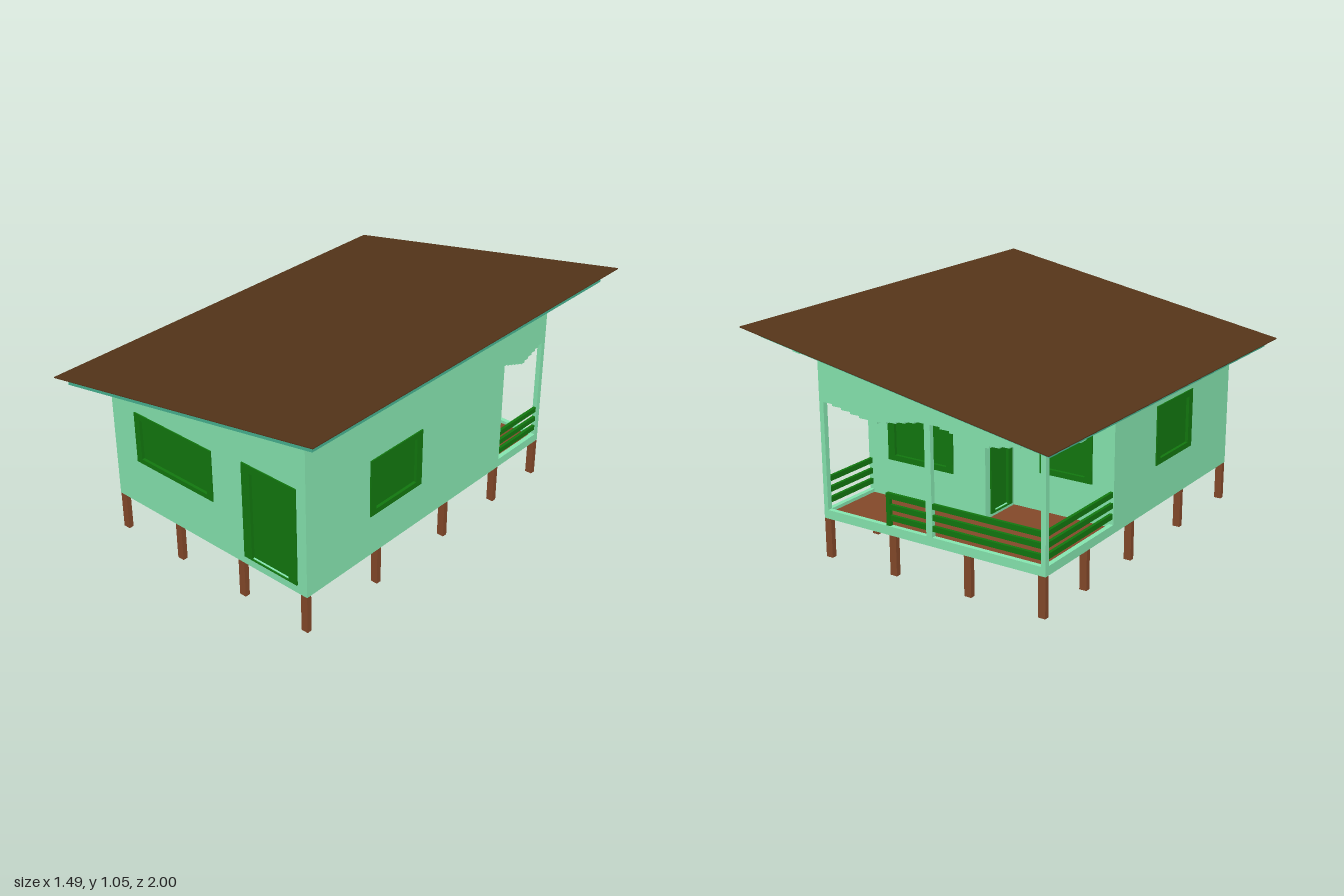
import * as THREE from 'three';

const mat = (color) => new THREE.MeshStandardMaterial({ color, flatShading: true });
const WALL = mat(0x86e6b0), TRIM = mat(0x46b391), GREEN = mat(0x12780f), ROOF = mat(0x553519);
const WOOD = mat(0x84492a), SOFFIT = mat(0xa2bbae);
const T = 0.022;                                  // wall thickness
const BASE = 0.18, SILL = 0.22;
const X0 = -0.585, X1 = 0.545, Z0 = -0.765, Z1 = 0.83;
const PORCH_Z = -0.455, RECESS_Z = -0.24, RECESS_X = -0.085;
const roofY = (x) => 0.915 + 0.181 * x;           // single-pitch roof plane

export function createModel() {
  const house = new THREE.Group();
  house.name = 'stiltHouse';

  const add = (name, geometry, material) => {
    const mesh = new THREE.Mesh(geometry, material);
    mesh.name = name;
    house.add(mesh);
    return mesh;
  };
  const box = (name, material, x0, x1, y0, y1, z0, z1) => {
    const mesh = add(name, new THREE.BoxGeometry(x1 - x0, y1 - y0, z1 - z0), material);
    mesh.position.set((x0 + x1) / 2, (y0 + y1) / 2, (z0 + z1) / 2);
    return mesh;
  };
  const poly = (pts, Type = THREE.Shape) => new Type(pts.map(([u, v]) => new THREE.Vector2(u, v)));
  const rect = (u0, u1, v0, v1) => [[u0, v0], [u1, v0], [u1, v1], [u0, v1]];
  const extrude = (pts, holes, depth) => {
    const shape = poly(pts);
    shape.holes = holes.map((h) => poly(h, THREE.Path));
    return new THREE.ExtrudeGeometry(shape, { depth, bevelEnabled: false });
  };

  // Upright panel: axis 'z' uses u = x, axis 'x' uses u = -z
  const panel = (name, material, axis, at, pts, holes, depth) => {
    const mesh = add(name, extrude(pts, holes, depth), material);
    if (axis === 'x') {
      mesh.rotation.y = Math.PI / 2;
      mesh.position.x = at;
    } else mesh.position.z = at;
  };

  // Wall with its top cut to the roof; units are [u0, u1, v0, v1, border, isDoor]
  const wall = (name, axis, at, u0, u1, units = [], openings = []) => {
    const top = (u) => roofY(axis === 'x' ? at : u) - 0.012;
    const holes = units.map(([a, b, c, d]) => rect(a + 0.008, b - 0.008, c + 0.008, d - 0.008));
    panel(name, WALL, axis, at, [[u0, BASE], [u1, BASE], [u1, top(u1)], [u0, top(u0)]],
      [...holes, ...openings], T);
    for (const [a, b, c, d, w, isDoor] of units) {
      const kind = isDoor ? 'door' : 'window';
      const inner = rect(a + w, b - w, c + (isDoor ? 0.006 : w * 0.7), d - w * 0.8);
      panel(kind + 'Frame', GREEN, axis, at - 0.006, rect(a, b, c, d), [inner], T + 0.012);
      panel(kind + 'Panel', GREEN, axis, at + T / 2 - 0.003, rect(a + 0.01, b - 0.01, c + 0.004, d - 0.01), [], 0.006);
    }
  };

  // Porch bay whose upper edge hangs down in steps towards the middle
  const bay = (u0, u1) => {
    const pts = [[u0, SILL], [u1, SILL]], n = 11;
    for (let i = 0; i < n; i++) {
      const y = 0.705 - 0.045 * (1 - Math.abs(i - 5) / 5);
      pts.push([u1 + (u0 - u1) * i / n, y], [u1 + (u0 - u1) * (i + 1) / n, y]);
    }
    return pts;
  };

  // Outer walls
  wall('frontWall', 'z', Z1 - T, X0, X1,
    [[-0.44, 0.025, 0.41, 0.655, 0.032], [0.2, 0.495, 0.22, 0.68, 0.045, true]]);
  wall('leftWall', 'x', X1 - T, -Z1 + T, -Z0 - T, [[-0.45, -0.12, 0.375, 0.645, 0.036]], [bay(0.455, 0.741)]);
  wall('rightWall', 'x', X0, -Z1 + T, -Z0 - T, [[-0.45, -0.12, 0.375, 0.645, 0.036]], [bay(0.24, 0.741)]);
  wall('backPorchScreen', 'z', Z0, X0, X1, [], [bay(-0.005, X1 - T), bay(X0 + T, -0.035)]);

  // Room walls behind the porch
  wall('porchWall', 'z', PORCH_Z, RECESS_X, X1 - T, [[0.08, 0.43, 0.38, 0.64, 0.036]]);
  wall('recessWall', 'z', RECESS_Z, X0 + T, RECESS_X + T, [[-0.48, -0.22, 0.38, 0.64, 0.036]]);
  wall('recessSideWall', 'x', RECESS_X, -RECESS_Z, -PORCH_Z - T, [[0.26, 0.42, 0.22, 0.66, 0.03, true]]);

  // Porch floor
  box('porchFloor', WOOD, X0 + T, X1 - T, BASE + 0.005, 0.205, Z0 + T, PORCH_Z);
  box('recessFloor', WOOD, X0 + T, RECESS_X, BASE + 0.005, 0.205, PORCH_Z, RECESS_Z);

  // Railings, with an entrance gap at the back
  for (const y of [0.245, 0.293, 0.342]) {
    box('leftRail', GREEN, X1 - T + 0.004, X1 - 0.004, y, y + 0.024, Z0 + T, PORCH_Z);
    box('rightRail', GREEN, X0 + 0.004, X0 + T - 0.004, y, y + 0.024, Z0 + T, RECESS_Z);
    box('backRail', GREEN, X0 + T, 0.2, y, y + 0.024, Z0 + 0.004, Z0 + T - 0.004);
  }
  box('railPost', GREEN, 0.185, 0.205, SILL, 0.366, Z0 + 0.003, Z0 + T - 0.003);

  // Stilts around the perimeter
  const xs = [-0.567, -0.21, 0.173, 0.527], zs = [0.817, 0.385, -0.07, -0.44, -0.753];
  xs.forEach((x, i) => zs.forEach((z, j) => {
    if (i % 3 === 0 || j % 4 === 0) box('stilt', WOOD, x - 0.017, x + 0.017, 0, BASE, z - 0.012, z + 0.012);
  }));

  // Pieces that follow the roof pitch; lo and hi are offsets from the roof plane
  const pitched = (name, material, x0, x1, lo, hi, z0, z1) => {
    const pts = [[x0, roofY(x0) + lo], [x1, roofY(x1) + lo], [x1, roofY(x1) + hi], [x0, roofY(x0) + hi]];
    add(name, extrude(pts, [], z1 - z0), material).position.z = z0;
  };
  pitched('roof', ROOF, -0.745, 0.745, -0.004, 0, -1, 1);

  // Fascia boards
  const fx0 = -0.702, fx1 = 0.705, fz0 = -0.925, fz1 = 0.96, w = 0.014;
  pitched('frontFascia', TRIM, fx0, fx1, -0.046, -0.008, fz1 - w, fz1);
  pitched('backFascia', TRIM, fx0, fx1, -0.046, -0.008, fz0, fz0 + w);
  pitched('rightFascia', TRIM, fx0, fx0 + w, -0.046, -0.008, fz0 + w, fz1 - w);
  pitched('leftFascia', TRIM, fx1 - w, fx1, -0.046, -0.008, fz0 + w, fz1 - w);

  // Soffit under the eaves and over the porch
  const soffit = (x0, x1, z0, z1) => pitched('soffit', SOFFIT, x0, x1, -0.03, -0.024, z0, z1);
  soffit(fx0 + w, fx1 - w, Z1, fz1 - w);
  soffit(fx0 + w, fx1 - w, fz0 + w, PORCH_Z);
  soffit(fx0 + w, X0, PORCH_Z, Z1);
  soffit(X1, fx1 - w, PORCH_Z, Z1);
  soffit(X0, RECESS_X, PORCH_Z, RECESS_Z);

  // Rafter ends carrying the back eave
  for (const x of [-0.57, -0.02, 0.525]) pitched('rafterEnd', WALL, x - 0.018, x + 0.018, -0.058, -0.03, fz0 + w, Z0);

  return house;
}
